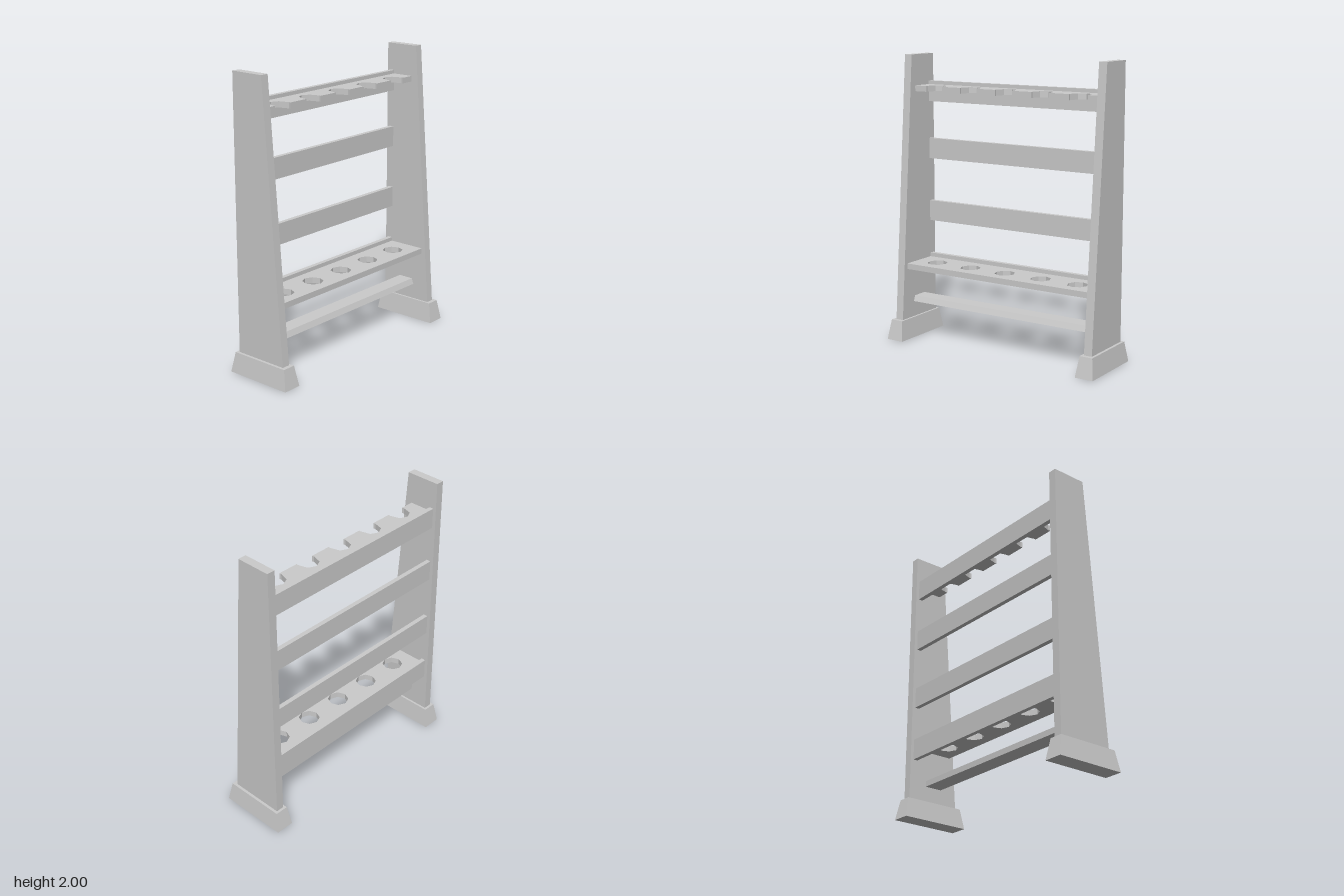
import * as THREE from 'three';

const material = new THREE.MeshStandardMaterial({ color: 0xcccccc, flatShading: true });
const SPAN = 1.47; // distance between the uprights
const holeXs = [-0.57, -0.285, 0, 0.285, 0.57];

function add(parent, name, geometry, x = 0, y = 0, z = 0) {
  const mesh = new THREE.Mesh(geometry, material);
  mesh.name = name;
  mesh.position.set(x, y, z);
  parent.add(mesh);
  return mesh;
}

// Extrudes a (z, y) profile along x, centred on x = 0
function profileAlongX(points, width) {
  const shape = new THREE.Shape(points.map(([z, y]) => new THREE.Vector2(-z, y)));
  const geometry = new THREE.ExtrudeGeometry(shape, { depth: width, bevelEnabled: false });
  return geometry.translate(0, 0, -width / 2).rotateY(Math.PI / 2);
}

// Extrudes a plan-view shape, drawn as (x, -z), upwards
function plank(shape, thickness) {
  return new THREE.ExtrudeGeometry(shape, { depth: thickness, bevelEnabled: false }).rotateX(-Math.PI / 2);
}

function toShape(points, Type = THREE.Shape) {
  return new Type(points.map(([x, z]) => new THREE.Vector2(x, -z)));
}

// Foot: a block whose top is drawn in on all four sides
function footGeometry() {
  const geometry = new THREE.BoxGeometry(0.13, 0.14, 0.49).translate(0, 0.07, 0);
  const p = geometry.attributes.position;
  for (let i = 0; i < p.count; i++) {
    if (p.getY(i) > 0.1) {
      p.setX(i, Math.sign(p.getX(i)) * 0.046);
      p.setZ(i, Math.sign(p.getZ(i)) * 0.218);
    }
  }
  geometry.computeVertexNormals();
  return geometry;
}

export function createModel() {
  const group = new THREE.Group();
  group.name = 'rack';

  // Tapered uprights on feet
  const upright = profileAlongX([[-0.2, 0.13], [0.19, 0.13], [0.045, 2], [-0.2, 2]], 0.058);
  for (const [side, s] of [['left', 1], ['right', -1]]) {
    add(group, side + 'Upright', upright, s * 0.763);
    add(group, side + 'Foot', footGeometry(), s * 0.765);
  }

  // Back rails
  [0.495, 0.88, 1.33, 1.737].forEach((y, i) =>
    add(group, 'backRail' + (i + 1), new THREE.BoxGeometry(SPAN, 0.145, 0.032), 0, y, -0.161));

  // Lower shelf with octagonal holes
  const h = SPAN / 2;
  const lower = toShape([[-h, 0.13], [h, 0.13], [h, -0.146], [-h, -0.146]]);
  for (const x of holeXs) {
    const ring = [];
    for (let k = 0; k < 8; k++) {
      const a = (k * Math.PI) / 4;
      ring.push([x + 0.07 * Math.cos(a), -0.008 + 0.072 * Math.sin(a)]);
    }
    lower.holes.push(toShape(ring, THREE.Path));
  }
  add(group, 'lowerShelf', plank(lower, 0.04), 0, 0.5);

  // Upper shelf with notches open to the front
  const edge = [[-h, 0.01]];
  for (const x of holeXs) {
    for (const [dx, z] of [[-0.068, 0.01], [-0.07, -0.005], [-0.051, -0.072], [0, -0.096],
      [0.051, -0.072], [0.07, -0.005], [0.068, 0.01]]) edge.push([x + dx, z]);
  }
  edge.push([h, 0.01], [h, -0.146], [-h, -0.146]);
  add(group, 'upperShelf', plank(toShape(edge), 0.04), 0, 1.745);

  // Bottom bar with a sloping front
  add(group, 'bottomBar', profileAlongX([[-0.066, 0.25], [0.06, 0.25], [0.045, 0.29], [-0.066, 0.29]], SPAN));

  return group;
}
